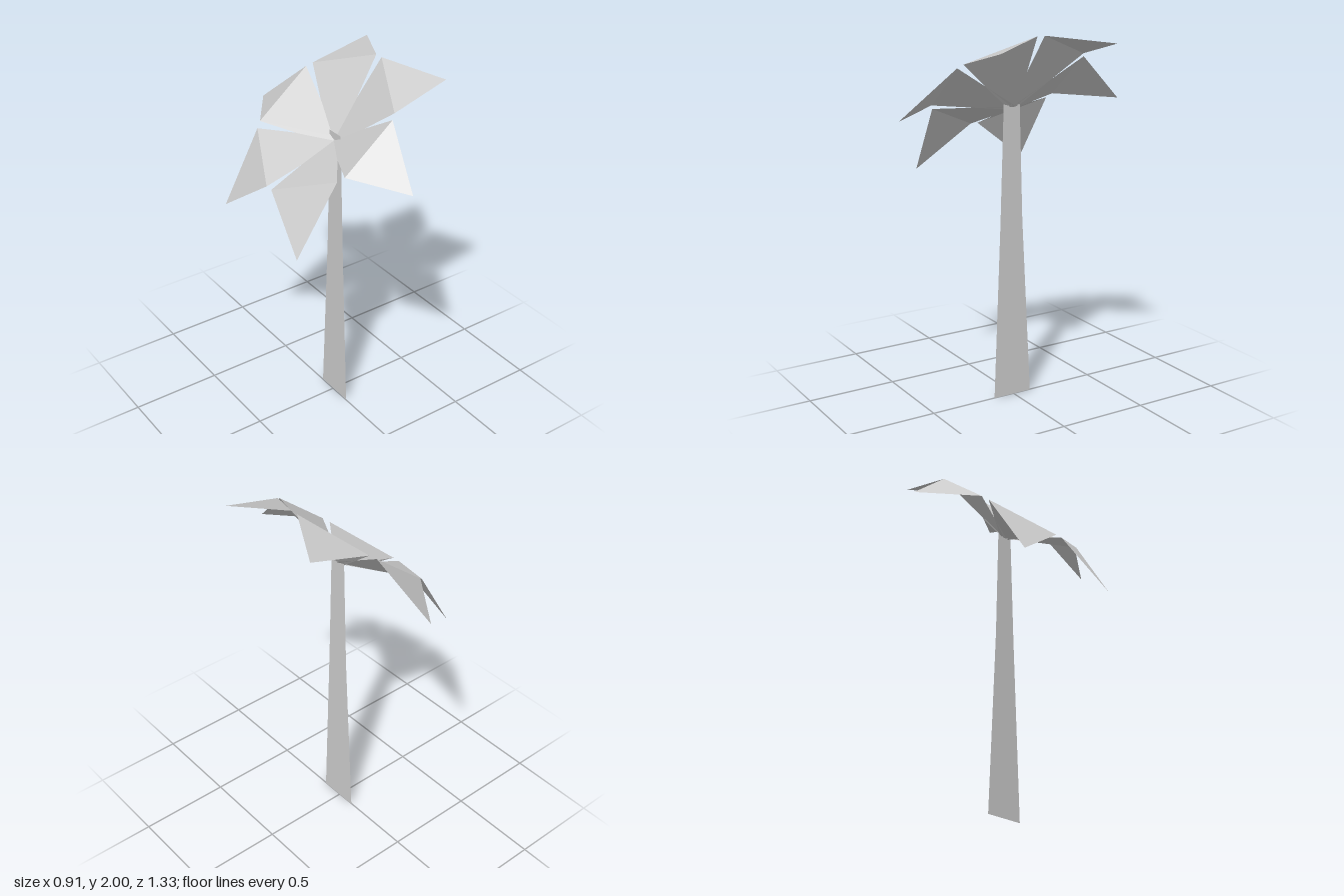
import * as THREE from 'three';

const material = new THREE.MeshStandardMaterial({
  color: 0xcccccc, flatShading: true, side: THREE.DoubleSide,
});

// Flat-shaded sheet from corner points and triangle indices
function sheet(name, points, faces) {
  const geometry = new THREE.BufferGeometry().setFromPoints(points);
  geometry.setIndex(faces);
  const flat = geometry.toNonIndexed();
  flat.computeVertexNormals();
  const mesh = new THREE.Mesh(flat, material);
  mesh.name = name;
  return mesh;
}

const crownCentre = new THREE.Vector3(0, 1.605, 0.005);

// Frond: narrow base at the crown, widening to a fold line, then a pointed tip
function frond(name, [a, b, tip]) {
  const p1 = new THREE.Vector3(...a);
  const p2 = new THREE.Vector3(...b);
  const halfBase = p2.clone().sub(p1).multiplyScalar(0.063);
  const b1 = crownCentre.clone().sub(halfBase);
  const b2 = crownCentre.clone().add(halfBase);
  return sheet(name, [b1, b2, p2, p1, new THREE.Vector3(...tip)],
    [0, 2, 1, 0, 3, 2, 3, 4, 2]);
}

// Two fold corners and the tip of each frond
const fronds = {
  frondFront: [[-0.2, 1.62, 0.376], [0.08, 1.845, 0.376], [-0.01, 1.59, 0.66]],
  frondFrontLeft: [[0.107, 1.865, 0.355], [0.273, 2, 0.03], [0.435, 1.95, 0.34]],
  frondBackLeft: [[0.273, 2, -0.013], [0.12, 1.875, -0.355], [0.45, 1.96, -0.327]],
  frondBack: [[0.093, 1.855, -0.376], [-0.2, 1.62, -0.376], [0.005, 1.6, -0.667]],
  frondBackRight: [[-0.23, 1.595, -0.355], [-0.397, 1.46, -0.013], [-0.457, 1.23, -0.327]],
  frondFrontRight: [[-0.397, 1.46, 0.03], [-0.23, 1.595, 0.355], [-0.457, 1.23, 0.34]],
};

export function createModel() {
  const model = new THREE.Group();
  model.name = 'palmTree';

  // Trunk: a single tapering upright sheet, rows of [y, front z, back z]
  const rows = [[0, 0.124, -0.106], [1, 0.082, -0.054], [1.65, 0.06, -0.036]];
  const points = rows.flatMap(([y, front, back]) => [
    new THREE.Vector3(0.003, y, front), new THREE.Vector3(0.003, y, back),
  ]);
  const faces = [];
  for (let i = 0; i < rows.length - 1; i++) {
    const k = i * 2;
    faces.push(k, k + 1, k + 3, k, k + 3, k + 2);
  }
  model.add(sheet('trunk', points, faces));

  // Crown of six folded fronds
  const crown = new THREE.Group();
  crown.name = 'crown';
  for (const [name, corners] of Object.entries(fronds)) crown.add(frond(name, corners));
  model.add(crown);

  return model;
}
